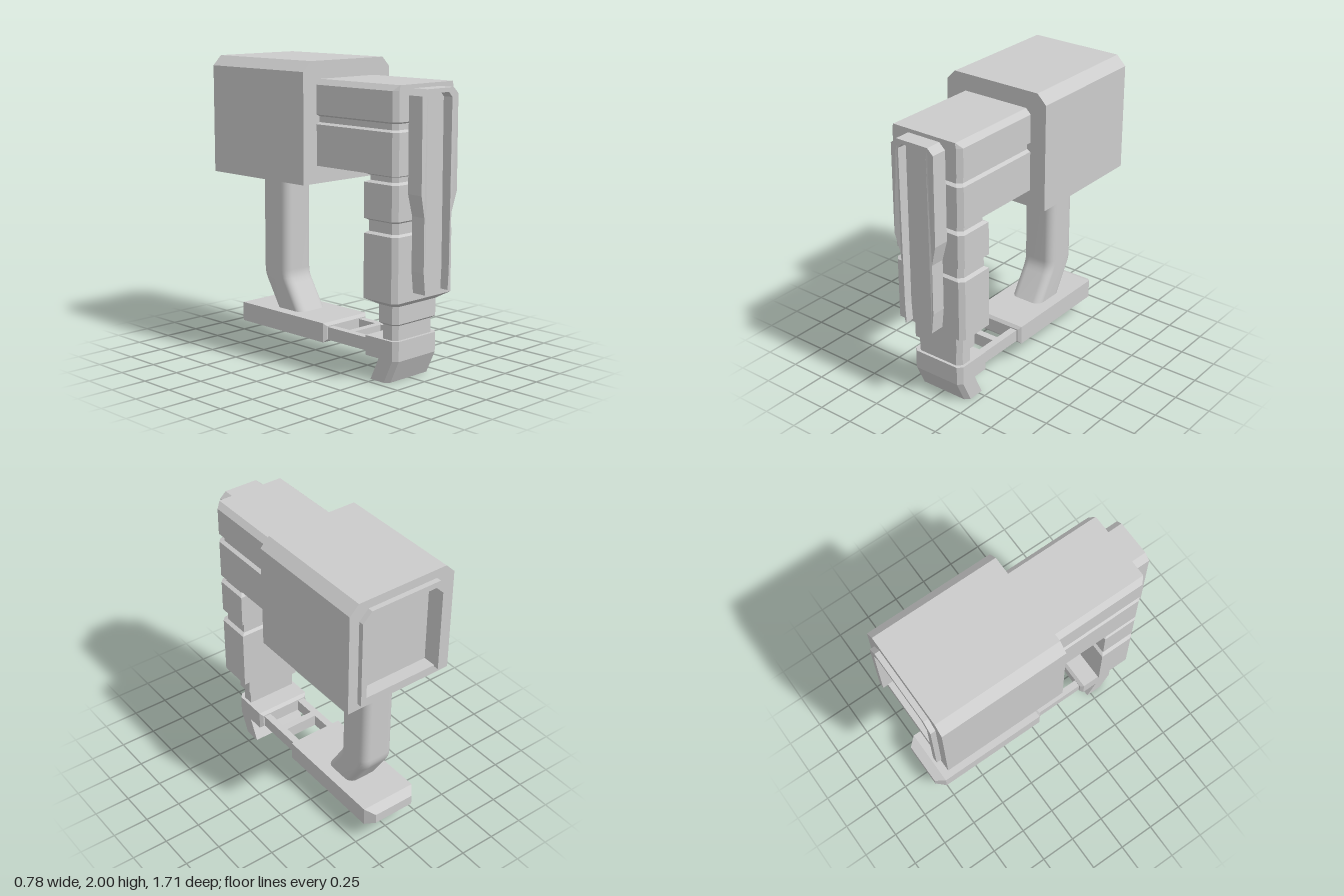
import * as THREE from 'three';
import { mergeVertices } from 'three/addons/utils/BufferGeometryUtils.js';

const material = new THREE.MeshStandardMaterial({ color: 0xcccccc });

// Horizontal section with its two front corners cut off by c
function sectionY(y, hx, z0, z1, c = 0.03) {
  return [[-hx + c, z1], [hx - c, z1], [hx, z1 - c], [hx, z0], [-hx, z0], [-hx, z1 - c]]
    .map(([x, z]) => [x, y, z]);
}

// Upright rectangular section
function sectionZ(z, hx, y0, y1) {
  return [[-hx, y0, z], [hx, y0, z], [hx, y1, z], [-hx, y1, z]];
}

// Rounded rectangular section for the grip
function sectionRound(y, zc, hx, hz, r) {
  const ring = [];
  [[1, 1], [1, -1], [-1, -1], [-1, 1]].forEach(([sx, sz], q) => {
    for (let i = 0; i <= 5; i++) {
      const a = (q + i / 5) * Math.PI / 2;
      ring.push([sx * (hx - r) + r * Math.sin(a), y, zc + sz * (hz - r) + r * Math.cos(a)]);
    }
  });
  return ring;
}

// Skin over a row of sections, with flat end caps
function loft(rings, capped = true) {
  const pos = [];
  const tri = (a, b, c) => pos.push(...a, ...b, ...c);
  const n = rings[0].length;
  for (let k = 0; k < rings.length - 1; k++) {
    const a = rings[k], b = rings[k + 1];
    for (let i = 0; i < n; i++) {
      const j = (i + 1) % n;
      tri(a[i], a[j], b[j]);
      tri(a[i], b[j], b[i]);
    }
  }
  if (capped) {
    const first = rings[0], last = rings[rings.length - 1];
    for (let i = 1; i < n - 1; i++) {
      tri(first[0], first[i + 1], first[i]);
      tri(last[0], last[i], last[i + 1]);
    }
  }
  const g = new THREE.BufferGeometry();
  g.setAttribute('position', new THREE.Float32BufferAttribute(pos, 3));
  g.computeVertexNormals();
  return g;
}

// Extrusion of an outline between two z positions
function slab(points, z0, z1, hole) {
  const shape = new THREE.Shape(points.map(p => new THREE.Vector2(...p)));
  if (hole) shape.holes.push(new THREE.Path(hole.map(p => new THREE.Vector2(...p))));
  return new THREE.ExtrudeGeometry(shape, { depth: z1 - z0, bevelEnabled: false }).translate(0, 0, z0);
}

// Block outline with cut top corners
const block = (hx, y0, y1, c) =>
  [[-hx, y0], [hx, y0], [hx, y1 - c], [hx - c, y1], [-hx + c, y1], [-hx, y1 - c]];

// Mirror a right-hand half outline into a closed one
const mirrored = half => [...half, ...half.map(([x, y]) => [-x, y]).reverse()];

export function createModel() {
  const model = new THREE.Group();
  const add = (name, geometry, parent = model) => {
    const mesh = new THREE.Mesh(geometry, material);
    mesh.name = name;
    parent.add(mesh);
    return mesh;
  };
  const box = (name, x, y, z, w, h, d, parent) =>
    add(name, new THREE.BoxGeometry(w, h, d).translate(x, y, z), parent);

  // Rear housing with a recess in its back
  const housing = new THREE.Group();
  housing.name = 'housing';
  model.add(housing);
  const outline = block(0.39, 1.22, 2, 0.065);
  const recess = block(0.28, 1.28, 1.9, 0.055);
  add('housingBlock', slab(outline, -0.73, 0.06), housing);
  add('housingBackWall', slab(outline, -0.82, -0.73, recess), housing);

  // Raised lip round the recess, open at the bottom
  add('recessLip', slab([
    [0.32, 1.27], [0.32, 1.875], [0.255, 1.94], [-0.255, 1.94], [-0.32, 1.875], [-0.32, 1.27],
    [-0.28, 1.27], [-0.28, 1.845], [-0.225, 1.9], [0.225, 1.9], [0.28, 1.845], [0.28, 1.27],
  ], -0.855, -0.82), housing);

  // Front arm with a groove round it
  add('arm', loft([
    sectionY(1.335, 0.275, 0.05, 0.745),
    sectionY(1.6, 0.275, 0.05, 0.745),
    sectionY(1.612, 0.25, 0.05, 0.72),
    sectionY(1.65, 0.25, 0.05, 0.72),
    sectionY(1.662, 0.275, 0.05, 0.745),
    sectionY(1.85, 0.275, 0.05, 0.745),
    sectionY(1.885, 0.24, 0.05, 0.745, 0.002),
  ]));

  // Grooved column narrowing to the neck
  add('column', loft([
    [0.27, 0.18, 0.56, 0.665], [0.375, 0.18, 0.56, 0.665],
    [0.39, 0.2, 0.54, 0.685], [0.505, 0.2, 0.54, 0.685],
    [0.525, 0.235, 0.51, 0.715], [0.545, 0.275, 0.48, 0.745],
    [0.96, 0.275, 0.48, 0.745], [0.973, 0.25, 0.5, 0.725],
    [1.042, 0.25, 0.5, 0.725], [1.055, 0.275, 0.48, 0.745],
    [1.28, 0.275, 0.48, 0.745], [1.293, 0.25, 0.51, 0.72],
    [1.325, 0.25, 0.51, 0.72], [1.336, 0.275, 0.48, 0.745],
  ].map(s => sectionY(...s))));

  // Front channel: a floor plate and a raised rim, open below
  const channel = new THREE.Group();
  channel.name = 'frontChannel';
  model.add(channel);
  const outer = [[0.11, 0.595], [0.125, 0.735], [0.125, 1.08], [0.163, 1.22], [0.163, 1.82], [0.12, 1.86]];
  const inner = [[0.1, 0.595], [0.108, 0.735], [0.108, 1.8], [0.075, 1.833]];
  add('channelFloor', slab(mirrored(outer), 0.745, 0.785), channel);
  const flip = pts => pts.map(([x, y]) => [-x, y]);
  const rim = slab([...outer, ...flip(outer).reverse(), ...flip(inner), ...[...inner].reverse()], 0.785, 0.855);
  const p = rim.attributes.position;
  for (let i = 0; i < p.count; i++) if (p.getZ(i) > 0.8 && p.getY(i) < 1.1) p.setZ(i, 0.845);
  rim.computeVertexNormals();
  add('channelRim', rim, channel);

  // Foot with a hooked toe
  add('toe', loft([
    sectionY(0, 0.2, 0.47, 0.615),
    sectionY(0.15, 0.2, 0.54, 0.685),
    sectionY(0.28, 0.2, 0.54, 0.685),
  ]));
  add('footBlock', loft([
    sectionZ(0.405, 0.18, 0.17, 0.26),
    sectionZ(0.425, 0.2, 0.15, 0.28),
    sectionZ(0.55, 0.2, 0.15, 0.28),
  ]));

  // Ladder linking the foot to the base
  const ladder = new THREE.Group();
  ladder.name = 'ladder';
  model.add(ladder);
  for (const s of [-1, 1]) box('ladderRail', s * 0.145, 0.21, 0.225, 0.05, 0.085, 0.4, ladder);
  box('ladderRung', 0, 0.21, 0.225, 0.26, 0.085, 0.05, ladder);

  // Base bar with a tapered back end
  add('base', loft([
    sectionZ(-0.83, 0.15, 0.18, 0.25),
    sectionZ(-0.768, 0.2, 0.15, 0.28),
    sectionZ(0.035, 0.2, 0.15, 0.28),
    sectionZ(0.052, 0.18, 0.17, 0.26),
  ]));

  // Rounded grip, bent forward at its lower end
  const grip = loft([
    [0.27, -0.386], [0.46, -0.502], [0.49, -0.518], [0.52, -0.527], [0.55, -0.529], [1.23, -0.529],
  ].map(([y, z]) => sectionRound(y, z, 0.12, 0.126, 0.055)), false);
  grip.deleteAttribute('normal');
  const smoothGrip = mergeVertices(grip);
  smoothGrip.computeVertexNormals();
  add('grip', smoothGrip);

  return model;
}
